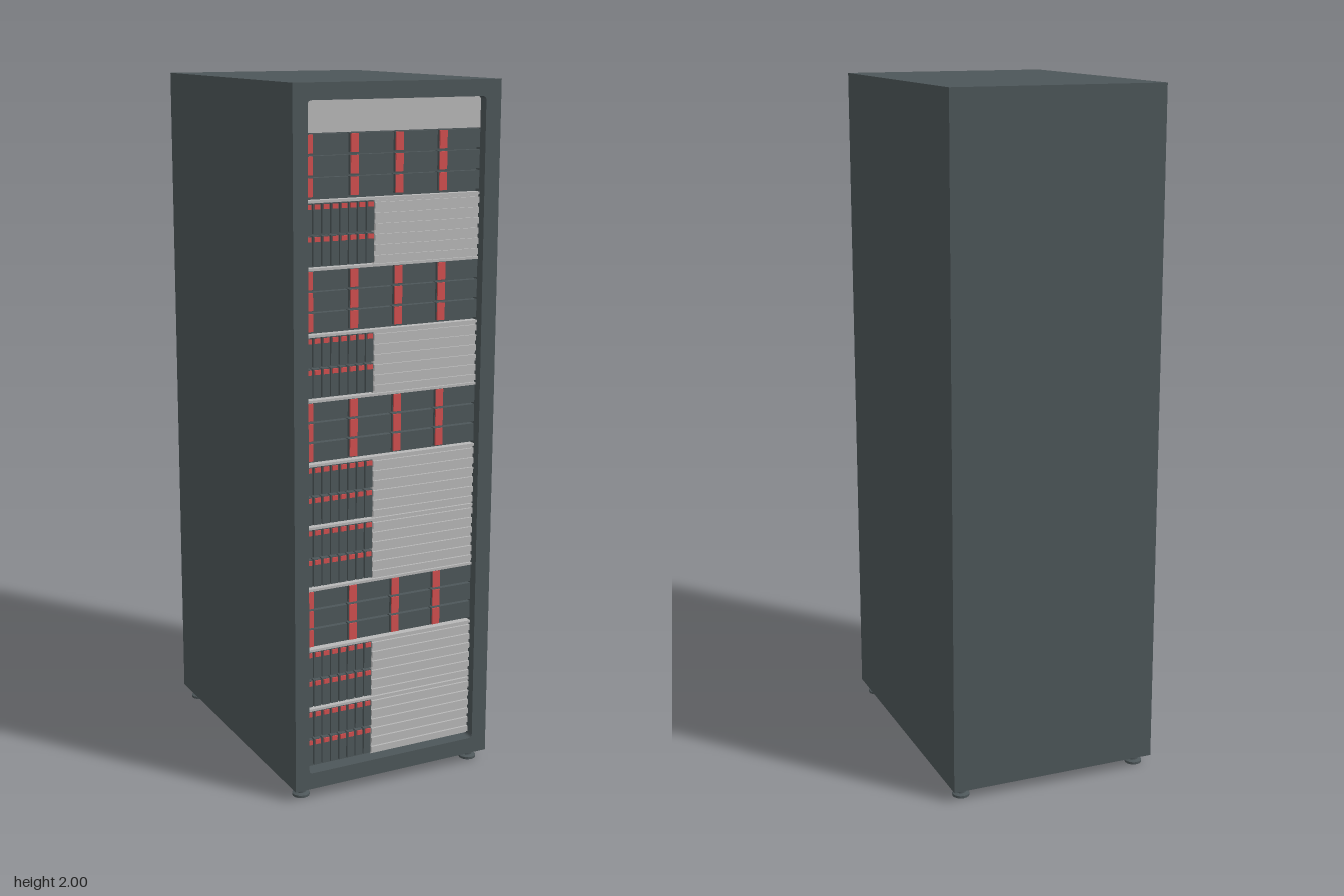
import * as THREE from 'three';
import { mergeGeometries } from 'three/addons/utils/BufferGeometryUtils.js';

const mat = (name, color) => Object.assign(new THREE.MeshStandardMaterial({ color }), { name });

// Box given by its limits on each axis
function box(x0, x1, y0, y1, z0, z1) {
  return new THREE.BoxGeometry(x1 - x0, y1 - y0, z1 - z0)
    .translate((x0 + x1) / 2, (y0 + y1) / 2, (z0 + z1) / 2);
}

function roundedRect(path, x0, x1, y0, y1, r) {
  path.moveTo(x0 + r, y0);
  path.lineTo(x1 - r, y0);
  path.quadraticCurveTo(x1, y0, x1, y0 + r);
  path.lineTo(x1, y1 - r);
  path.quadraticCurveTo(x1, y1, x1 - r, y1);
  path.lineTo(x0 + r, y1);
  path.quadraticCurveTo(x0, y1, x0, y1 - r);
  path.lineTo(x0, y0 + r);
  path.quadraticCurveTo(x0, y0, x0 + r, y0);
  return path;
}

export function createModel() {
  const dark = mat('cabinet grey', 0x4d5659);
  const light = mat('panel grey', 0xb8b8b8);
  const red = mat('latch red', 0xd24f4f);

  const model = new THREE.Group();
  model.name = 'serverCabinet';
  const add = (parent, name, geometries, material) => {
    const mesh = new THREE.Mesh(mergeGeometries([geometries].flat()), material);
    mesh.name = name;
    parent.add(mesh);
  };

  const W = 0.313, D = 0.428, BASE = 0.032;         // half width, half depth, underside
  const L = -0.27, R = 0.266, LOW = 0.08, TOP = 1.955; // front opening
  const BACK = 0.382, FACE = 0.4, FRAME = BACK;     // depths of the recess and unit faces

  // Cabinet body and front frame
  add(model, 'cabinetBody', box(-W, W, BASE, 2, -D, BACK), dark);
  const outline = new THREE.Shape([[-W, BASE], [W, BASE], [W, 2], [-W, 2]]
    .map(p => new THREE.Vector2(...p)));
  outline.holes.push(roundedRect(new THREE.Path(), L, R, LOW, TOP, 0.012));
  const frame = new THREE.ExtrudeGeometry(outline, { depth: D - FRAME, bevelEnabled: false, curveSegments: 6 });
  add(model, 'frontFrame', frame.translate(0, 0, FRAME), dark);

  // Levelling feet
  for (const sx of [-1, 1]) for (const sz of [-1, 1]) {
    const profile = [[0, 0], [0.025, 0], [0.025, 0.007], [0.015, 0.011], [0.015, BASE + 0.002]]
      .map(p => new THREE.Vector2(...p));
    const foot = new THREE.Mesh(new THREE.LatheGeometry(profile, 16).toNonIndexed(), dark);
    foot.geometry.computeVertexNormals();
    foot.name = 'foot';
    foot.position.set(sx * 0.277, 0, sz * 0.385);
    model.add(foot);
  }

  // Blank panel above the units
  add(model, 'blankPanel', box(L, R, 1.87, TOP, BACK, FACE), light);

  // Wide-drive unit: three rows of four drives with red latches
  function wideDriveUnit(y, h) {
    const unit = new THREE.Group();
    unit.name = 'wideDriveUnit';
    const drives = [], latches = [], pitch = 0.135, rowH = (h - 0.01) / 3;
    for (let row = 0; row < 3; row++) for (let col = 0; col < 4; col++) {
      const x = L + col * pitch, y0 = y + 0.01 + row * rowH;
      drives.push(box(x + 0.002, Math.min(x + pitch - 0.003, R), y0 + 0.003, y0 + rowH - 0.003, BACK, FACE));
      latches.push(box(x + 0.003, x + 0.026, y0 + 0.004, y0 + rowH - 0.004, FACE - 0.002, FACE + 0.004));
    }
    add(unit, 'drives', drives, dark);
    add(unit, 'driveLatches', latches, red);
    return unit;
  }

  // Server unit: two rows of slim upright drives beside a ribbed vent panel
  function ventedUnit(y, h) {
    const unit = new THREE.Group();
    unit.name = 'ventedUnit';
    const drives = [], latches = [], vent = [], split = -0.058;
    const pitch = (split - L) / 8, rowH = (h - 0.008) / 2;
    for (let row = 0; row < 2; row++) for (let col = 0; col < 8; col++) {
      const x = L + col * pitch, y0 = y + 0.008 + row * rowH, top = y0 + rowH - 0.004;
      drives.push(box(x + 0.002, x + pitch - 0.002, y0 + 0.002, top, BACK, FACE));
      latches.push(box(x + 0.005, x + pitch - 0.005, top - 0.015, top - 0.002, FACE - 0.002, FACE + 0.004));
    }
    vent.push(box(split, R, y + 0.005, y + h - 0.003, BACK, FACE - 0.003));
    const ribs = 6, step = (h - 0.008) / ribs;
    for (let i = 0; i < ribs; i++) {
      const y0 = y + 0.005 + i * step;
      vent.push(box(split, R, y0 + step * 0.2, y0 + step * 0.8, FACE - 0.005, FACE + 0.003));
    }
    add(unit, 'slimDrives', drives, dark);
    add(unit, 'slimDriveLatches', latches, red);
    add(unit, 'ventPanel', vent, light);
    return unit;
  }

  // Ten units stacked from the bottom, each on a thin light shelf
  const order = 'VVWVVWVWVW', unitH = (1.87 - LOW) / order.length;
  [...order].forEach((type, i) => {
    const y = LOW + i * unitH;
    model.add(type === 'W' ? wideDriveUnit(y, unitH) : ventedUnit(y, unitH));
    if (i > 0) add(model, 'shelf', box(L, R, y - 0.002, y + 0.005, BACK, FACE + 0.004), light);
  });

  return model;
}
